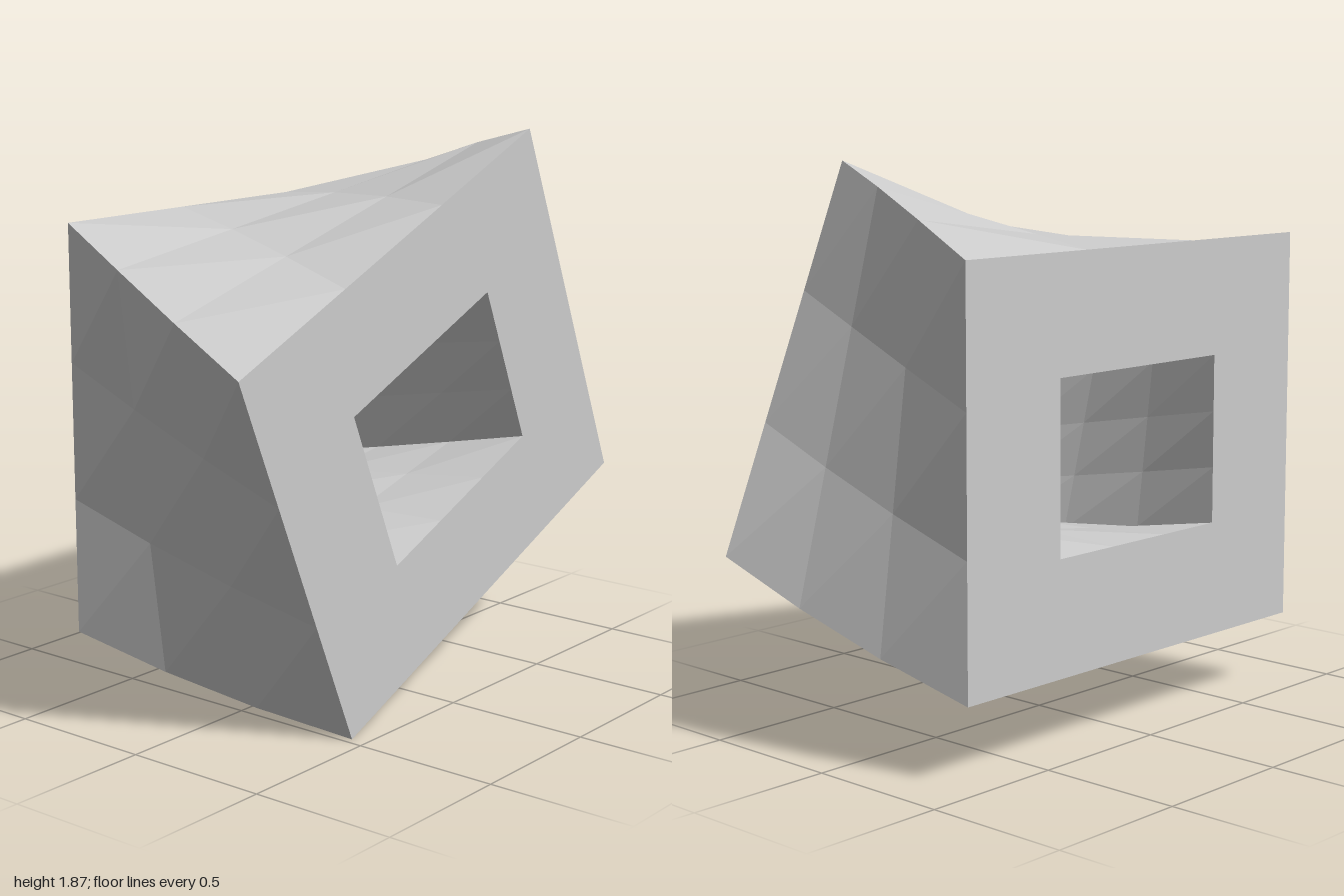
import * as THREE from 'three';

const DEPTH = 0.89, TWIST = 0.4, SIDE_STEPS = 3, DEPTH_STEPS = 3, CENTRE_Y = 0.937;

// Rectangular ring of points, counter-clockwise from the front; t = 0 at the back, 1 at the front
function ring(halfW, halfH, t) {
  const corners = [[1, -1], [1, 1], [-1, 1], [-1, -1]];
  const points = [];
  corners.forEach((a, k) => {
    const b = corners[(k + 1) % 4];
    for (let s = 0; s < SIDE_STEPS; s++) {
      const f = s / SIDE_STEPS;
      const p = new THREE.Vector3(
        halfW * THREE.MathUtils.lerp(a[0], b[0], f),
        halfH * THREE.MathUtils.lerp(a[1], b[1], f),
        (t - 0.5) * DEPTH
      );
      points.push(p.applyAxisAngle(new THREE.Vector3(0, 0, 1), TWIST * t));
    }
  });
  return points;
}

// Skin between consecutive rings
function skin(rings) {
  const positions = [];
  for (let r = 0; r < rings.length - 1; r++) {
    const n = rings[r].length;
    for (let i = 0; i < n; i++) {
      const j = (i + 1) % n;
      const a = rings[r][i], b = rings[r][j], c = rings[r + 1][j], d = rings[r + 1][i];
      for (const p of [a, d, c, a, c, b]) positions.push(p.x, p.y, p.z);
    }
  }
  const geometry = new THREE.BufferGeometry();
  geometry.setAttribute('position', new THREE.Float32BufferAttribute(positions, 3));
  geometry.computeVertexNormals();
  return geometry;
}

export function createModel() {
  const group = new THREE.Group();
  group.name = 'twistedFrame';
  const material = new THREE.MeshStandardMaterial({ color: 0xcccccc, flatShading: true });
  const add = (name, rings) => {
    const mesh = new THREE.Mesh(skin(rings), material);
    mesh.name = name;
    mesh.position.y = CENTRE_Y;
    group.add(mesh);
  };

  const outer = [], inner = [];
  for (let k = 0; k <= DEPTH_STEPS; k++) {
    const t = 1 - k / DEPTH_STEPS;
    outer.push(ring(0.8, 0.677, t));
    inner.unshift(ring(0.384, 0.287, t));
  }

  // Walls run front to back outside, back to front inside
  add('outerWalls', outer);
  add('innerWalls', inner);

  // Flat end faces join the outer and inner rings
  add('backFace', [outer[DEPTH_STEPS], inner[0]]);
  add('frontFace', [inner[DEPTH_STEPS], outer[0]]);
  return group;
}
